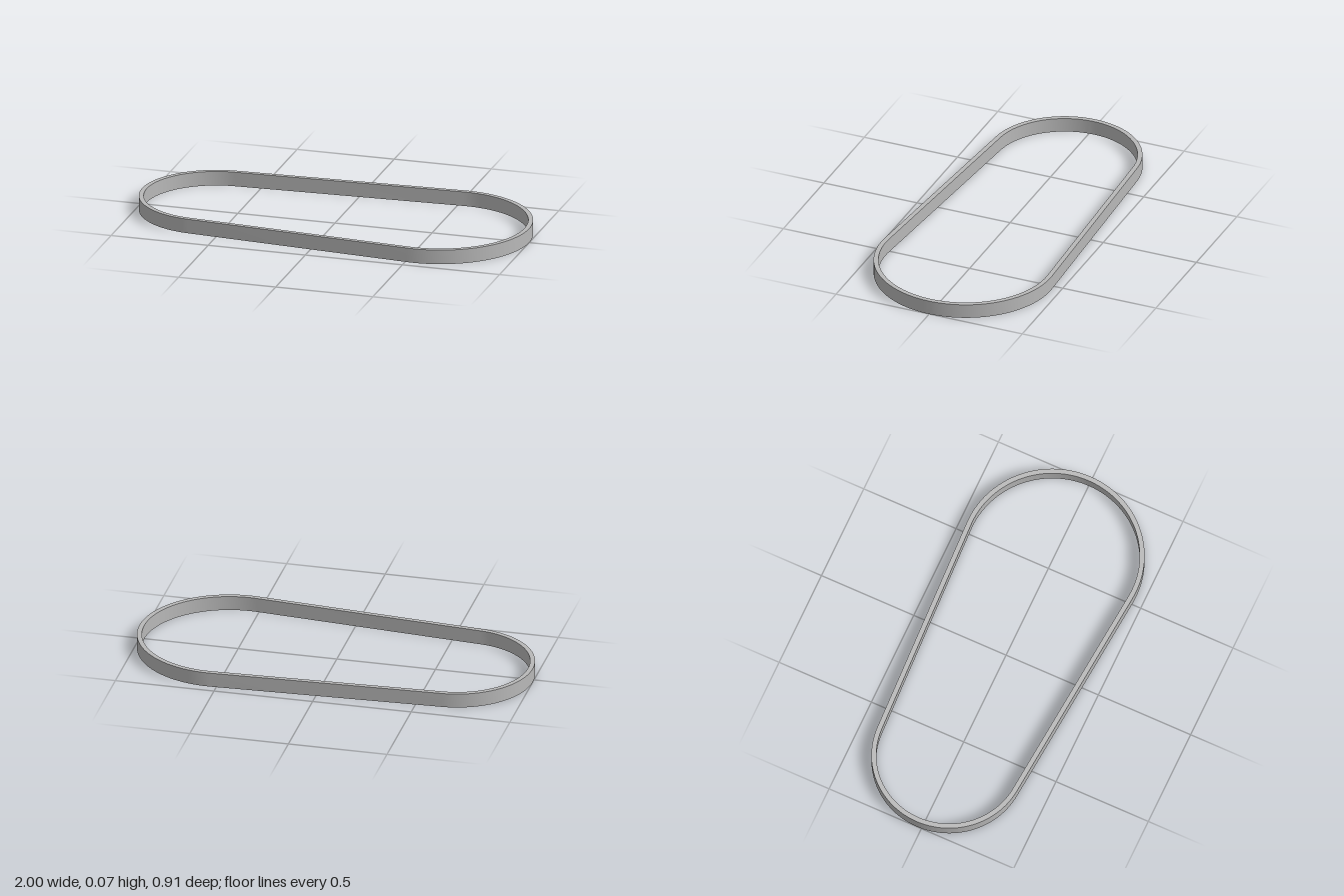
import * as THREE from 'three';
import { toCreasedNormals } from 'three/addons/utils/BufferGeometryUtils.js';

const HEIGHT = 0.073;
const THICKNESS = 0.024;
// the two rounded ends the band wraps around (y here becomes -z)
const BIG = { x: 0.545, y: 0, r: 0.455 };
const SMALL = { x: -0.617, y: 0.025, r: 0.383 };

// outline of a taut loop around both ends, moved inward by inset
function traceLoop(path, inset) {
  const dx = BIG.x - SMALL.x, dy = BIG.y - SMALL.y;
  const tilt = Math.atan2(dy, dx);
  const half = Math.PI / 2 + Math.asin((BIG.r - SMALL.r) / Math.hypot(dx, dy));
  path.absarc(BIG.x, BIG.y, BIG.r - inset, tilt - half, tilt + half, false);
  path.absarc(SMALL.x, SMALL.y, SMALL.r - inset, tilt + half, tilt - half + Math.PI * 2, false);
  path.closePath();
  return path;
}

export function createModel() {
  const group = new THREE.Group();
  group.name = 'driveBelt';
  const grey = new THREE.MeshStandardMaterial({ color: 0xb8b8b8 });
  grey.name = 'grey';

  // flat-edged band with smooth inner and outer walls
  const shape = traceLoop(new THREE.Shape(), 0);
  shape.holes.push(traceLoop(new THREE.Path(), THICKNESS));
  const extruded = new THREE.ExtrudeGeometry(shape, {
    depth: HEIGHT, bevelEnabled: false, curveSegments: 40,
  });
  extruded.rotateX(-Math.PI / 2);
  const band = new THREE.Mesh(toCreasedNormals(extruded, Math.PI / 6), grey);
  band.name = 'band';
  group.add(band);
  return group;
}
